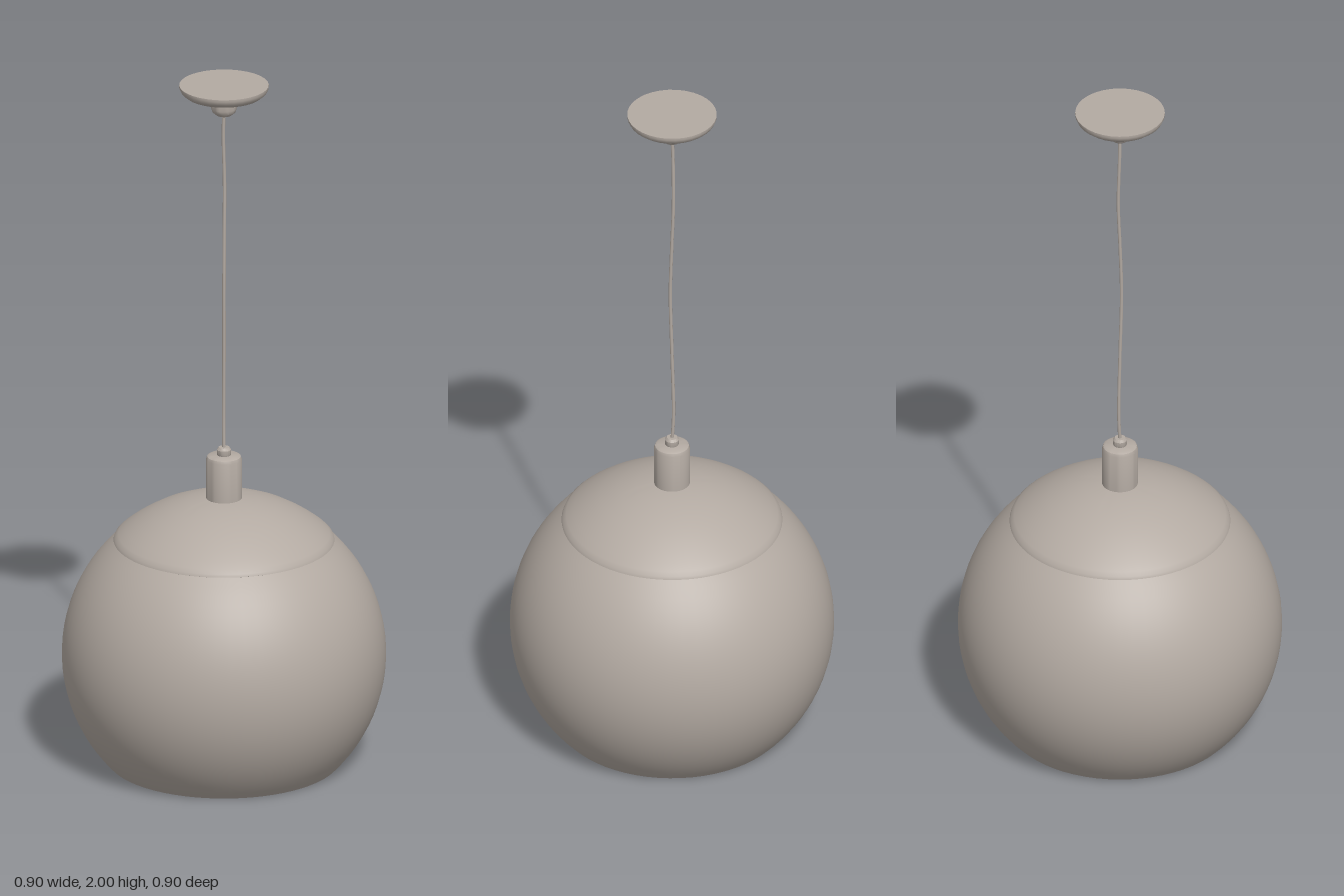
import * as THREE from 'three';
import { toCreasedNormals } from 'three/addons/utils/BufferGeometryUtils.js';

export function createModel() {
  const lamp = new THREE.Group();
  lamp.name = 'pendantLamp';
  const metal = new THREE.MeshStandardMaterial({ color: 0xb3aaa2, side: THREE.DoubleSide });
  metal.name = 'warm grey';

  const add = (name, geometry) => {
    const mesh = new THREE.Mesh(geometry, metal);
    mesh.name = name;
    lamp.add(mesh);
  };
  // Turned part: [radius, height] pairs from bottom to top, sharp above 35 degrees
  const turned = (name, profile, segments) => {
    const points = profile.map(([r, y]) => new THREE.Vector2(r, y));
    add(name, toCreasedNormals(new THREE.LatheGeometry(points, segments), 0.6));
  };
  // Points on a sphere arc about the shade centre
  const arc = (radius, y0, y1, steps) => {
    const cy = 0.315;
    const a0 = Math.asin((y0 - cy) / radius);
    const a1 = Math.asin((y1 - cy) / radius);
    return Array.from({ length: steps + 1 }, (_, i) => {
      const a = a0 + (a1 - a0) * i / steps;
      return [radius * Math.cos(a), cy + radius * Math.sin(a)];
    });
  };

  // Globe shade: thin shell, open at the bottom
  const inner = arc(0.446, 0, 0.645, 24).reverse();
  const outer = arc(0.452, 0, 0.65, 24);
  turned('globeShade', [...inner, ...outer, inner[0]], 64);

  // Domed cap with a rolled rim, resting on the shade
  turned('domeCap', [
    [0.296, 0.645], [0.308, 0.65], [0.305, 0.658], [0.295, 0.668], [0.275, 0.684],
    [0.245, 0.705], [0.2, 0.731], [0.15, 0.752], [0.1, 0.767], [0.05, 0.775], [0, 0.777],
  ], 64);

  // Lamp holder sleeve
  turned('holderSleeve', [
    [0, 0.765], [0.05, 0.765], [0.05, 0.89], [0.047, 0.898], [0.04, 0.902], [0, 0.902],
  ], 32);

  // Cord grip
  turned('cordGrip', [
    [0.018, 0.9], [0.02, 0.905], [0.02, 0.918], [0.015, 0.925], [0, 0.925],
  ], 16);

  // Slightly wavy cord
  const path = new THREE.CatmullRomCurve3([
    [0, 0.91, 0], [0.002, 1.0, -0.004], [0, 1.2, 0], [-0.003, 1.4, 0.004],
    [0, 1.55, 0.001], [0.004, 1.7, -0.003], [0, 1.85, -0.003], [0, 1.93, 0],
  ].map((p) => new THREE.Vector3(...p)));
  add('cord', new THREE.TubeGeometry(path, 40, 0.005, 8));

  // Ceiling canopy with its stepped neck
  turned('ceilingCanopy', [
    [0, 1.912], [0.022, 1.912], [0.033, 1.922], [0.036, 1.932], [0.036, 1.95],
    [0.048, 1.954], [0.068, 1.964], [0.09, 1.967], [0.108, 1.972], [0.12, 1.982],
    [0.125, 1.993], [0.125, 2], [0, 2],
  ], 32);

  return lamp;
}
